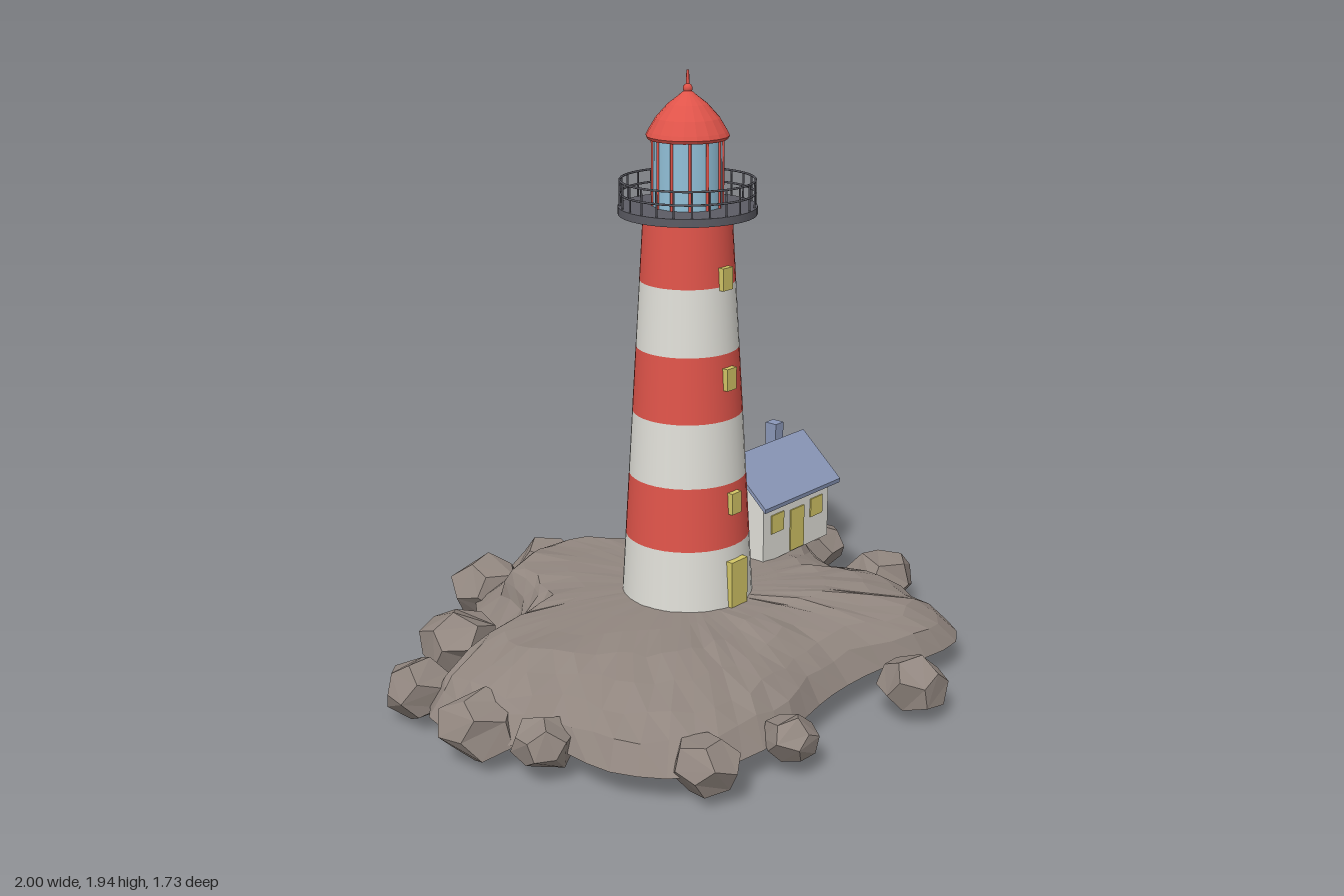
import * as THREE from 'three';

const mat = (name, color, side = THREE.FrontSide) => {
  const m = new THREE.MeshStandardMaterial({ color, side });
  m.name = name;
  return m;
};

export function createModel() {
  const white = mat('white paint', 0xe0dfd8, THREE.DoubleSide);
  const red = mat('red paint', 0xe0544a, THREE.DoubleSide);
  const yellow = mat('yellow', 0xd2c566);
  const deckGrey = mat('deck grey', 0x5c5c64);
  const glass = mat('glass blue', 0x92c0d8);
  const slate = mat('slate blue', 0x8a97b8);
  const rock = mat('rock', 0x91867f, THREE.DoubleSide);

  const model = new THREE.Group();
  const add = (name, geo, material, x = 0, y = 0, z = 0, parent = model) => {
    const mesh = new THREE.Mesh(geo, material);
    mesh.name = name;
    mesh.position.set(x, y, z);
    parent.add(mesh);
    return mesh;
  };
  const box = (w, h, d) => new THREE.BoxGeometry(w, h, d);
  const clamp01 = (v) => Math.min(1, Math.max(0, v));
  const hash = (a, b = 0, c = 0) => {
    const s = Math.sin(a * 127.1 + b * 311.7 + c * 74.7) * 43758.5453;
    return s - Math.floor(s);
  };

  // Island: rings scaled from a closed outline; gentle slope in front, steep ledge at the back
  const outline = [
    [.76, -.23], [.77, -.1], [.68, .09], [.66, .19], [.71, .41], [.68, .57], [.58, .67], [.41, .67],
    [.25, .61], [0, .6], [-.18, .63], [-.34, .66], [-.5, .65], [-.68, .6], [-.8, .41], [-.81, .22],
    [-.9, .06], [-.94, -.1], [-.92, -.22], [-.77, -.33], [-.45, -.4], [-.36, -.55], [-.29, -.72],
    [-.1, -.79], [.1, -.75], [.19, -.61], [.3, -.51], [.43, -.4], [.62, -.32],
  ];
  const curve = new THREE.CatmullRomCurve3(outline.map(([x, z]) => new THREE.Vector3(x, 0, z)), true);
  const SEG = 64;
  const rim = curve.getSpacedPoints(SEG);
  const rings = [[0, .283], [.35, .283], [.55, .282], [.7, .277], [.81, .25], [.9, .212], [.96, .17], [1, .095]];
  const last = rings.length - 1;
  const point = (r, i) => {
    const [f, y] = rings[r];
    const { x, z } = rim[i % SEG];
    const front = clamp01(z / .6), back = clamp01((-z - .25) / .3);
    const slope = r > 2 && r < last;
    let s = f ** (1 + .9 * front);
    if (slope) s += (.8 - s) * .55 * back + (hash(r, i % SEG, 1) - .5) * .04;
    const lift = (hash(r, i % SEG, 2) - .5) * (slope ? .024 : r < last ? .003 : 0);
    return [x * s, y + lift, z * s];
  };
  const land = [];
  for (let r = 0; r < last; r++) {
    for (let i = 0; i < SEG; i++) {
      const a = point(r, i), b = point(r, i + 1), c = point(r + 1, i), d = point(r + 1, i + 1);
      if (r === 0) land.push(0, .283, 0, ...d, ...c);
      else land.push(...a, ...b, ...c, ...b, ...d, ...c);
    }
  }
  const landGeo = new THREE.BufferGeometry();
  landGeo.setAttribute('position', new THREE.Float32BufferAttribute(land, 3));
  landGeo.computeVertexNormals();
  add('island', landGeo, rock);

  // Boulders: x, z, radius
  const boulders = [
    [-.84, -.35, .117], [-.54, -.52, .13], [-.18, -.765, .13], [.07, -.73, .132], [.485, -.555, .138],
    [.8, -.415, .145], [.89, -.15, .108], [.8, .205, .122], [.19, .755, .115], [-.33, .69, .088],
    [-.61, .61, .105], [-.83, .18, .095], [-.875, -.04, .13],
  ];
  boulders.forEach(([x, z, r], n) => {
    const geo = new THREE.DodecahedronGeometry(r, 0);
    geo.rotateX(n * 1.3).rotateZ(n * 2.1);
    const p = geo.attributes.position;
    for (let i = 0; i < p.count; i++) {
      const q = [p.getX(i), p.getY(i), p.getZ(i)].map((v) => Math.round(v / r * 100));
      const s = .9 + .2 * hash(q[0] + n, q[1], q[2]);
      p.setXYZ(i, p.getX(i) * s, p.getY(i) * s * .82, p.getZ(i) * s);
    }
    geo.computeVertexNormals();
    add('boulder', geo, rock, x, .116, z);
  });

  // Tower: six tapering bands
  const bands = [.272, .48, .685, .89, 1.1, 1.31, 1.52];
  const radiusAt = (y) => .211 - (y - .28) * .0595;
  for (let i = 0; i < 6; i++) {
    const lo = bands[i], hi = bands[i + 1];
    add('towerBand', new THREE.CylinderGeometry(radiusAt(hi), radiusAt(lo), hi - lo, 36, 1, true),
      i % 2 ? red : white, 0, (lo + hi) / 2);
  }
  add('towerDoor', box(.076, .155, .03), yellow, 0, .357, .206);
  for (const y of [.622, 1.022, 1.335]) add('towerWindow', box(.044, .07, .035), yellow, 0, y, radiusAt(y) - .002);

  // Gallery deck and railing
  add('galleryDeck', new THREE.CylinderGeometry(.214, .214, .025, 36), deckGrey, 0, 1.5275);
  for (const y of [1.58, 1.62]) {
    add('galleryRail', new THREE.TorusGeometry(.207, .0035, 6, 48).rotateX(Math.PI / 2), deckGrey, 0, y);
  }
  for (let i = 0; i < 24; i++) {
    const a = i / 24 * Math.PI * 2;
    add('railPost', new THREE.CylinderGeometry(.003, .003, .08, 8), deckGrey,
      Math.sin(a) * .207, 1.58, Math.cos(a) * .207);
  }

  // Lantern room
  add('lanternGlass', new THREE.CylinderGeometry(.106, .106, .215, 24), glass, 0, 1.645);
  for (let i = 0; i < 12; i++) {
    const a = (i + .5) / 12 * Math.PI * 2;
    add('lanternBar', new THREE.CylinderGeometry(.0045, .0045, .215, 8), red,
      Math.sin(a) * .107, 1.645, Math.cos(a) * .107);
  }

  // Domed roof and finial
  const roofProfile = [[0, 1.745], [.122, 1.745], [.128, 1.755], [.122, 1.768], [.098, 1.808], [.06, 1.85],
    [.03, 1.873], [.012, 1.888]];
  const roofGeo = new THREE.LatheGeometry(roofProfile.map(([x, y]) => new THREE.Vector2(x, y)), 20).toNonIndexed();
  roofGeo.computeVertexNormals();
  add('lanternRoof', roofGeo, red);
  add('finialBall', new THREE.SphereGeometry(.015, 12, 8), red, 0, 1.895);
  add('finialSpike', new THREE.CylinderGeometry(.004, .006, .05, 8), red, 0, 1.925);

  // Keeper's cottage
  const house = new THREE.Group();
  house.name = 'cottage';
  house.position.set(.4935, 0, -.075);
  model.add(house);
  const extrudeAlongX = (points, length) => new THREE.ExtrudeGeometry(
    new THREE.Shape(points.map(([x, y]) => new THREE.Vector2(x, y))), { depth: length, bevelEnabled: false },
  ).translate(0, 0, -length / 2).rotateY(Math.PI / 2);
  add('cottageWalls', extrudeAlongX([[-.135, .275], [.135, .275], [.135, .488], [0, .613], [-.135, .488]], .355),
    white, 0, 0, 0, house);
  add('cottageRoof', extrudeAlongX([[-.163, .47], [0, .612], [.163, .47], [.165, .485], [0, .628], [-.165, .485]], .41),
    slate, 0, 0, 0, house);
  add('chimney', box(.042, .13, .045), slate, .108, .602, -.052, house);
  add('cottageDoor', box(.074, .148, .009), yellow, .002, .354, .135, house);
  for (const x of [-.105, .108]) add('cottageWindow', box(.066, .066, .009), yellow, x, .404, .135, house);

  return model;
}
